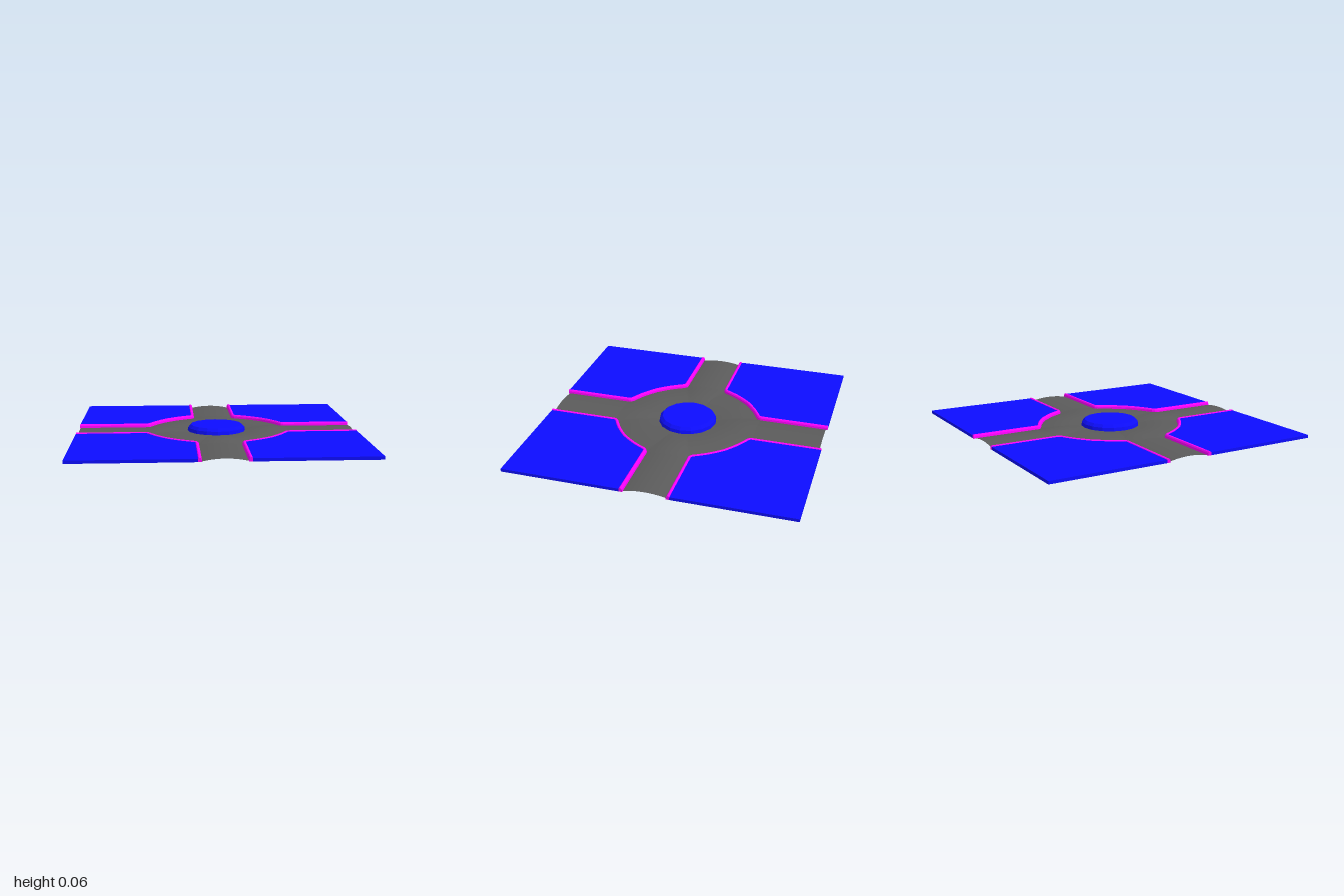
import * as THREE from 'three';

const HALF = 0.145;      // half width of the road arms
const MOUTH = 0.51;      // where the arms meet the ring
const ROAD_END = 0.988;
const BASE = 0.01, TOP = 0.031, EDGE = 0.012, CROWN = 0.016;

const material = (color, flatShading) =>
  new THREE.MeshStandardMaterial({ color, flatShading, side: THREE.DoubleSide });
const blue = material(0x0d0dff, true);
const magenta = material(0xff00ff, true);
const grey = material(0x5b5b5b, false);

function mesh(name, geometry, mat) {
  const m = new THREE.Mesh(geometry, mat);
  m.name = name;
  return m;
}

// Surface through rows of [x, y, z] points; it faces (row step) x (column step)
function surface(rows) {
  const n = rows[0].length, index = [];
  for (let i = 0; i < rows.length - 1; i++) {
    for (let j = 0; j < n - 1; j++) {
      const a = i * n + j, b = a + n;
      index.push(a, b, a + 1, b, b + 1, a + 1);
    }
  }
  const g = new THREE.BufferGeometry();
  g.setAttribute('position', new THREE.Float32BufferAttribute(rows.flat(2), 3));
  g.setIndex(index);
  g.computeVertexNormals();
  return g;
}

// Kerb line of one quadrant as [x, z], mirrored about the diagonal
const halfLine = [[1, HALF], [MOUTH, HALF], [0.492, 0.15], [0.475, 0.167],
  [0.455, 0.205], [0.425, 0.255], [0.39, 0.302]];
const kerbLine = [...halfLine, [0.35, 0.35], ...halfLine.map(([x, z]) => [z, x]).reverse()];

// Move the kerb line into the slab by a distance, with mitred corners
function inset(d) {
  return kerbLine.map(([x, z], i) => {
    const p = kerbLine[Math.max(i - 1, 0)], q = kerbLine[Math.min(i + 1, kerbLine.length - 1)];
    const dir = (a, b) => new THREE.Vector2(b[0] - a[0], b[1] - a[1]).normalize();
    const t1 = i > 0 ? dir(p, [x, z]) : dir([x, z], q);
    const t2 = i < kerbLine.length - 1 ? dir([x, z], q) : t1;
    const t = t1.clone().add(t2).normalize();
    const k = d / t.dot(t1);
    return [x + t.y * k, z - t.x * k];
  });
}

// Kerb section: [distance into the slab, height]
const kerbProfile = [[0, BASE], [0.002, 0.026], [0.007, 0.034], [0.012, 0.037],
  [0.018, 0.037], [0.023, 0.034], [0.025, TOP]];

function kerb() {
  const g = new THREE.Group();
  g.name = 'kerb';
  const lines = kerbProfile.map(([d, y]) => inset(d).map(([x, z]) => [x, y, z]));
  g.add(mesh('kerbStrip', surface(kerbLine.map((_, i) => lines.map(l => l[i]))), magenta));
  // End caps at the tile border
  const capX = kerbProfile.map(([d, y]) => [[1, y, HALF + d], [1, BASE, HALF + d]]);
  const capZ = kerbProfile.map(([d, y]) => [[HALF + d, BASE, 1], [HALF + d, y, 1]]);
  g.add(mesh('kerbEnd', surface(capX), magenta), mesh('kerbEnd', surface(capZ), magenta));
  return g;
}

// Corner slab: flat top and outer skirt, open below
function slab() {
  const g = new THREE.Group();
  g.name = 'cornerSlab';
  const outline = [...inset(0.025), [1, 1]].map(([x, z]) => new THREE.Vector2(x, -z));
  const top = new THREE.ShapeGeometry(new THREE.Shape(outline));
  top.rotateX(-Math.PI / 2).translate(0, TOP, 0);
  const s = HALF + 0.025;
  const skirt = [[1, s], [1, 1], [s, 1]].map(([x, z]) => [[x, TOP, z], [x, BASE, z]]);
  g.add(mesh('slabTop', top, blue), mesh('slabSkirt', surface(skirt), blue));
  return g;
}

// Cambered height across a road arm
const camber = x => EDGE + CROWN * (1 - (x / HALF) ** 2);
const across = Array.from({ length: 11 }, (_, i) => HALF * (i / 5 - 1));

function roadArm() {
  const rows = [MOUTH, ROAD_END].map(z => across.map(x => [x, camber(x), z]));
  return mesh('roadArm', surface(rows), grey);
}

// Quarter of the ring road, from one arm mouth along one kerb arc
function roadRing() {
  const outer = across.map(x => [x, camber(x), MOUTH]);
  const arc = kerbLine.slice(1, -1).reverse();
  arc.slice(1).forEach(([x, z]) => outer.push([x, EDGE, z]));
  const rows = outer.map(([x, y, z]) => {
    const r = Math.hypot(x, z);
    return Array.from({ length: 9 }, (_, j) => {
      const t = j / 8, k = THREE.MathUtils.lerp(1, 0.205 / r, t);
      const h = THREE.MathUtils.lerp(y, 0.016, t) + 0.012 * Math.sin(Math.PI * t);
      return [x * k, h, z * k];
    });
  });
  return mesh('roadRing', surface(rows), grey);
}

export function createModel() {
  const model = new THREE.Group();
  model.name = 'roundaboutTile';

  // Four identical quadrants
  for (let i = 0; i < 4; i++) {
    const quadrant = new THREE.Group();
    quadrant.name = 'quadrant';
    quadrant.add(slab(), kerb(), roadArm(), roadRing());
    quadrant.rotation.y = i * Math.PI / 2;
    model.add(quadrant);
  }

  // Central island, open below
  const profile = [[0.213, 0], [0.204, 0.04], [0.184, 0.06], [0, 0.06]]
    .map(([r, y]) => new THREE.Vector2(r, y));
  model.add(mesh('centralIsland', new THREE.LatheGeometry(profile, 16), blue));
  return model;
}
